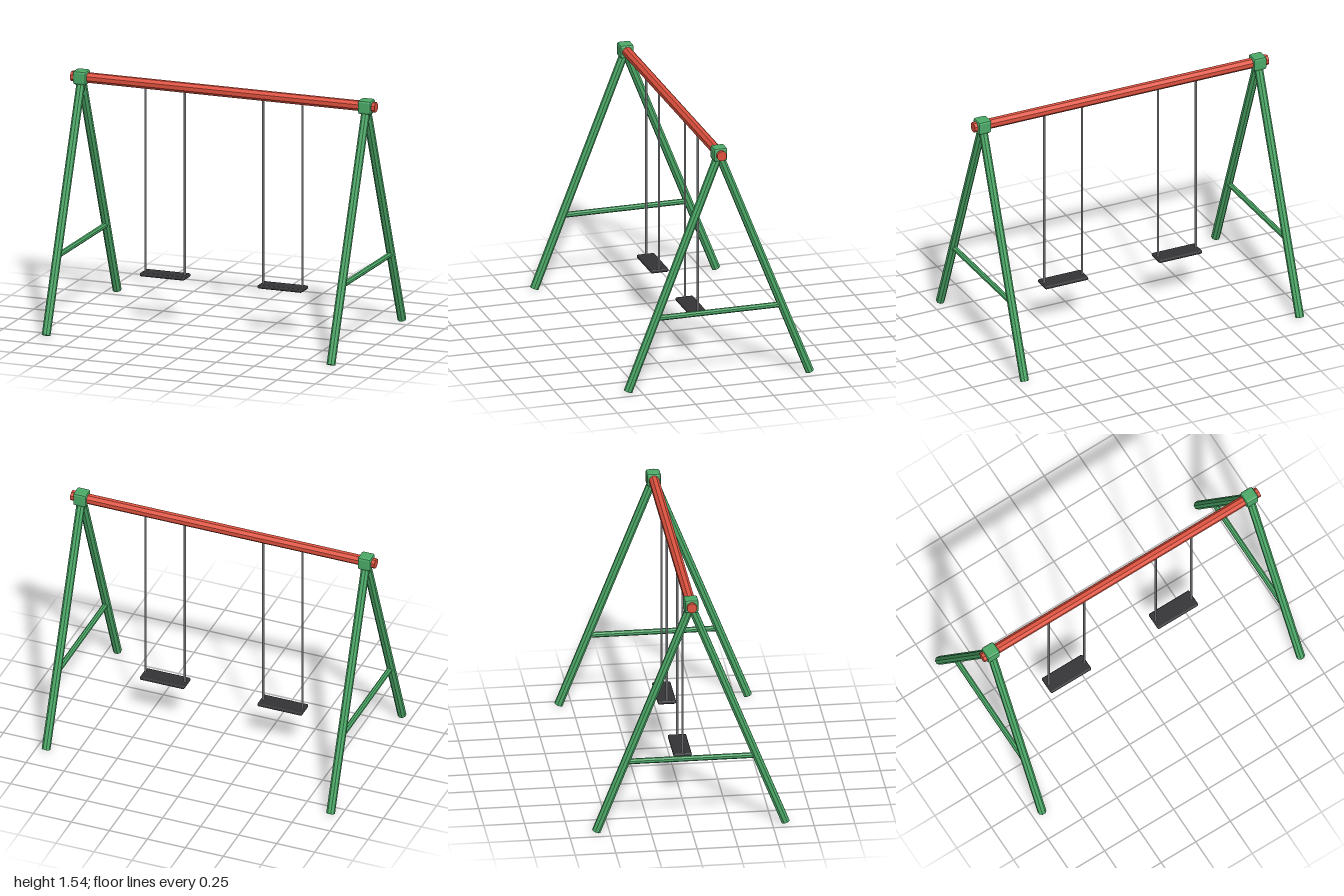
import * as THREE from 'three';
import { RoundedBoxGeometry } from 'three/addons/geometries/RoundedBoxGeometry.js';

const flat = (name, color) => new THREE.MeshStandardMaterial({ name, color, flatShading: true });

export function createModel() {
  const green = flat('frameGreen', 0x4caa68);
  const red = flat('beamRed', 0xe0523f);
  const steel = flat('chainSteel', 0xb4b7bc);
  const rubber = flat('seatRubber', 0x333336);
  const model = new THREE.Group();
  model.name = 'swingSet';

  const add = (parent, name, geometry, material, x = 0, y = 0, z = 0) => {
    const mesh = new THREE.Mesh(geometry, material);
    mesh.name = name;
    mesh.position.set(x, y, z);
    parent.add(mesh);
    return mesh;
  };
  // Straight eight-sided bar between two points, with a flat face turned to each axis
  const bar = (parent, name, from, to, radius, material) => {
    const a = new THREE.Vector3(...from), b = new THREE.Vector3(...to);
    const dir = b.clone().sub(a);
    const geometry = new THREE.CylinderGeometry(radius, radius, dir.length(), 8).rotateY(Math.PI / 8);
    const mesh = add(parent, name, geometry, material);
    mesh.position.copy(a).add(b).multiplyScalar(0.5);
    mesh.quaternion.setFromUnitVectors(new THREE.Vector3(0, 1, 0), dir.normalize());
  };

  const beamY = 1.498;
  bar(model, 'topBeam', [-1, beamY, 0], [1, beamY, 0], 0.0325, red);

  for (const side of [-1, 1]) {
    // A-frame at each end
    const frame = new THREE.Group();
    frame.name = side > 0 ? 'leftFrame' : 'rightFrame';
    frame.position.x = side * 0.936;
    model.add(frame);
    add(frame, 'cornerBlock', new RoundedBoxGeometry(0.087, 0.087, 0.087, 1, 0.014), green, 0, beamY, 0);
    for (const z of [-1, 1]) {
      bar(frame, z > 0 ? 'frontLeg' : 'backLeg', [0, 0.009, z * 0.582], [0, 1.49, 0], 0.027, green);
    }
    bar(frame, 'crossBrace', [0, 0.465, -0.4], [0, 0.465, 0.4], 0.0175, green);

    // Swing hung from the beam
    const swing = new THREE.Group();
    swing.name = side > 0 ? 'leftSwing' : 'rightSwing';
    swing.position.x = side * 0.387;
    model.add(swing);
    add(swing, 'seat', new RoundedBoxGeometry(0.294, 0.023, 0.114, 2, 0.01), rubber, 0, 0.3025, 0);
    for (const x of [-0.129, 0.129]) {
      bar(swing, 'chain', [x, 0.305, 0], [x, 1.47, 0], 0.007, steel);
      const ring = new THREE.TorusGeometry(0.009, 0.004, 6, 10).rotateY(Math.PI / 2);
      add(swing, 'hangerRing', ring, steel, x, 1.467, 0);
    }
  }
  return model;
}
